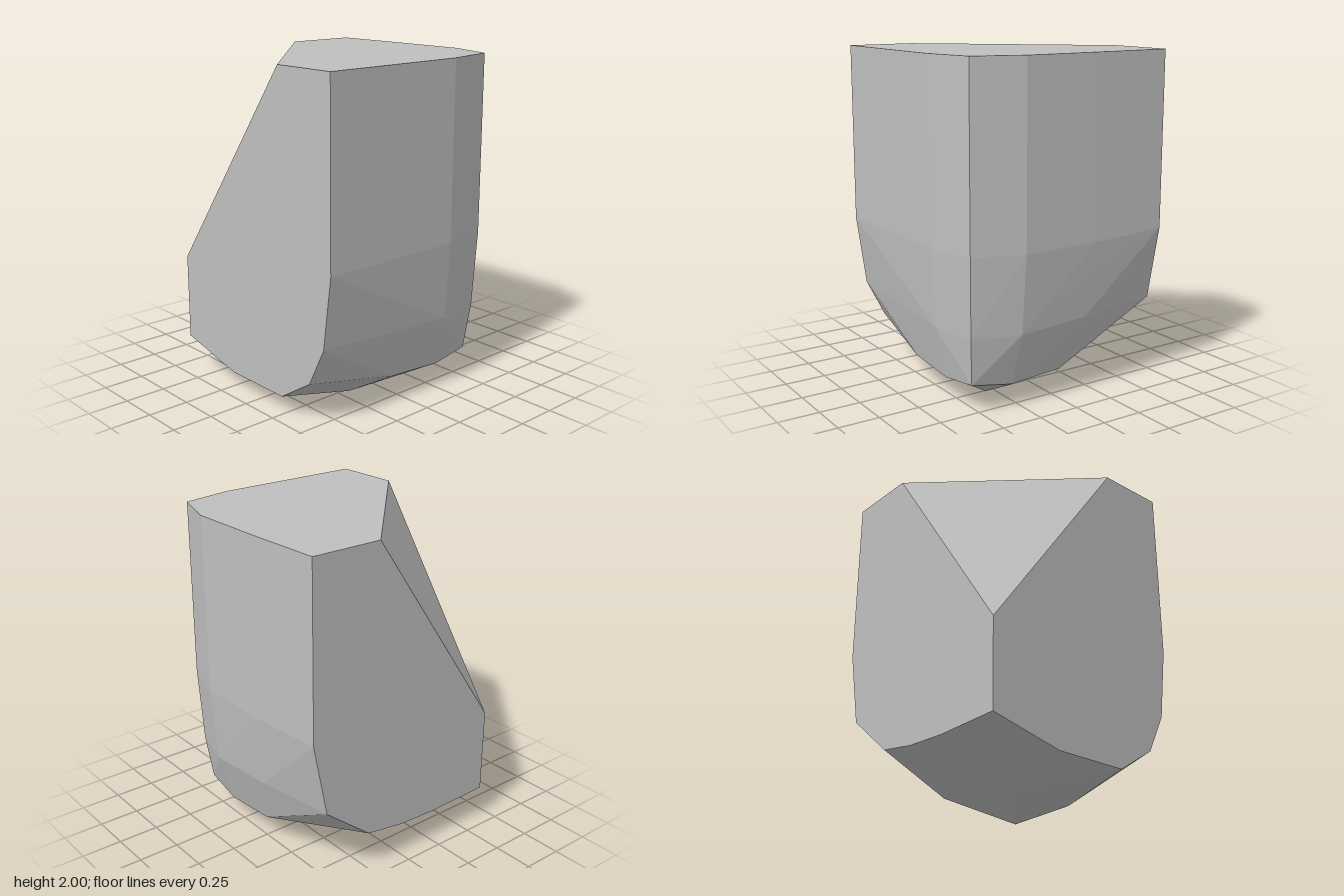
import * as THREE from 'three';
import { ConvexGeometry } from 'three/addons/geometries/ConvexGeometry.js';

export function createModel() {
  const model = new THREE.Group();
  const stone = new THREE.MeshStandardMaterial({ color: 0xbfbfbf });
  stone.name = 'plain grey';

  // Corners of the faceted block, in rings from the top down: [x, y, z]
  const B = -0.675; // flat left and back sides
  const corners = [
    // flat top, with one corner cut away
    [B, 2, 0.25], [B, 2, 0.67], [0.26, 2, 0.665], [0.58, 2, 0.6],
    [0.675, 2, 0.3], [0.67, 2, -0.2], [0.655, 2, B], [0.21, 2, B],
    // lower tip of the slanted cut
    [B, 0.735, B],
    // where the sides begin to taper
    [B, 0.93, 0.67], [0.26, 0.93, 0.665], [0.58, 0.93, 0.6],
    [0.675, 0.93, 0.3], [0.67, 0.93, -0.18], [0.655, 0.95, B],
    // lower sides
    [B, 0.5, 0.61], [0.26, 0.46, 0.635], [0.556, 0.46, 0.585],
    [0.635, 0.46, 0.3], [0.62, 0.48, -0.15], [0.565, 0.5, B],
    // rim of the underside
    [B, 0.265, 0.49], [-0.1, 0.17, 0.565], [0.26, 0.15, 0.575], [0.52, 0.18, 0.56],
    [0.54, 0.14, 0.3], [0.525, 0.155, -0.04], [0.255, 0.25, B],
    [0.01, 0.212, B], [-0.26, 0.2, B], [B, 0.21, B], [B, 0.107, -0.22], [B, 0.107, 0.244],
    // underside
    [0.255, 0, 0.3], [-0.2, 0.01, -0.17], [-0.2, 0.015, 0.3], [0.25, 0.12, -0.2],
  ];

  const block = new THREE.Mesh(
    new ConvexGeometry(corners.map((c) => new THREE.Vector3(...c))), stone);
  block.name = 'facetedBlock';
  model.add(block);
  return model;
}
